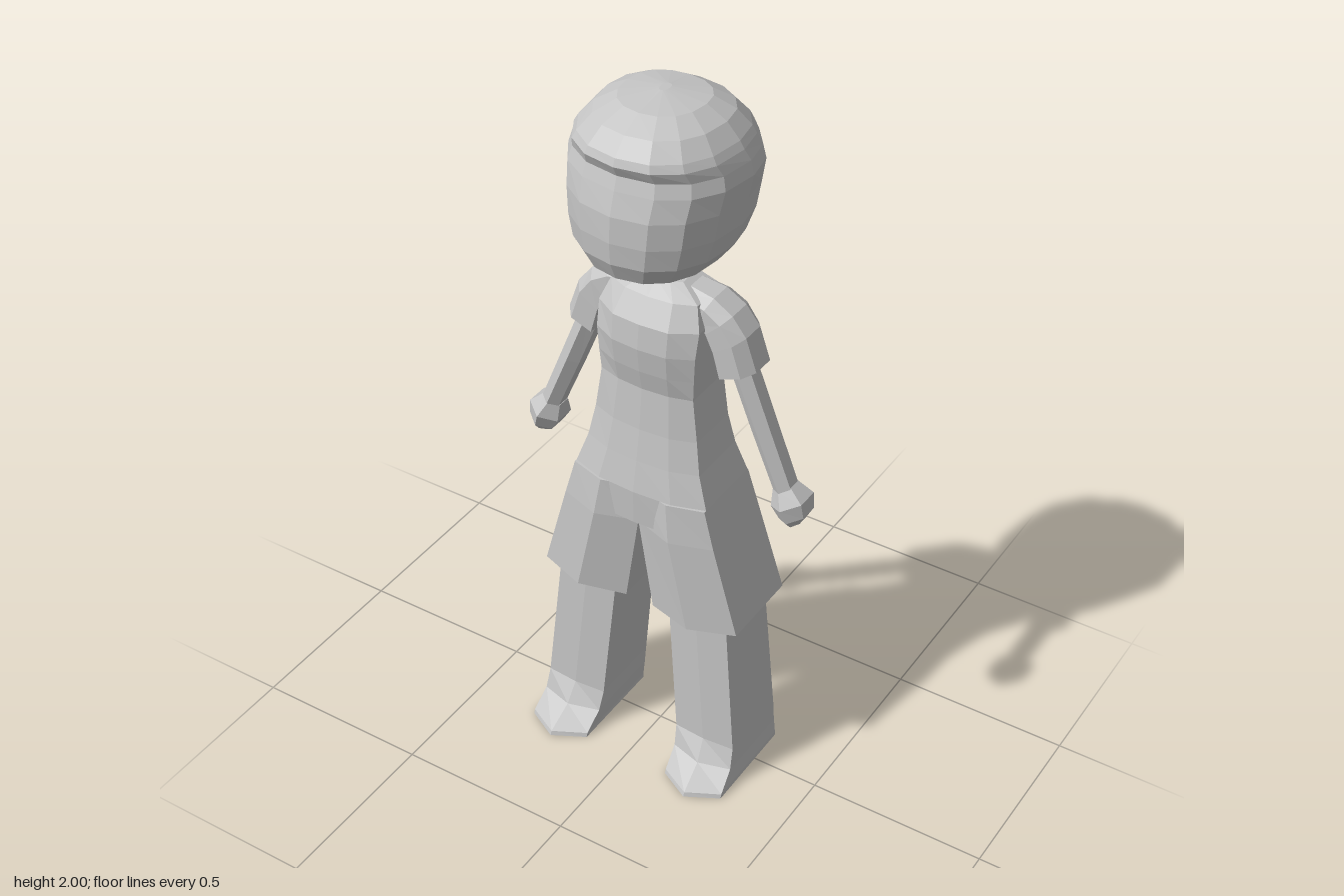
import * as THREE from 'three';

const grey = new THREE.MeshStandardMaterial({ color: 0xc4c4c4, flatShading: true });
grey.name = 'plain grey';

// Skins a stack of rings (listed top to bottom, front -> left -> back) with capped ends.
// side = -1 builds the mirrored twin.
function loft(name, rings, side = 1) {
  const loops = rings.map(r => {
    const pts = r.map(p => new THREE.Vector3(p[0] * side, p[1], p[2]));
    return side < 0 ? pts.reverse() : pts;
  });
  const pos = [];
  const tri = (...v) => v.forEach(p => pos.push(p.x, p.y, p.z));
  const n = loops[0].length;
  for (let i = 0; i < loops.length - 1; i++) {
    for (let j = 0; j < n; j++) {
      const k = (j + 1) % n;
      const [a, b, c, d] = [loops[i][j], loops[i][k], loops[i + 1][k], loops[i + 1][j]];
      tri(a, d, c);
      tri(a, c, b);
    }
  }
  const top = loops[0], end = loops[loops.length - 1];
  for (let j = 1; j < n - 1; j++) {
    tri(top[0], top[j], top[j + 1]);
    tri(end[0], end[j + 1], end[j]);
  }
  const geo = new THREE.BufferGeometry();
  geo.setAttribute('position', new THREE.Float32BufferAttribute(pos, 3));
  geo.computeVertexNormals();
  const mesh = new THREE.Mesh(geo, grey);
  mesh.name = name;
  return mesh;
}

// Rounded horizontal ring: half width, front z, back z
function roundRing([y, w, zf, zb], n = 16) {
  const mid = zf * 0.45 + zb * 0.55, ring = [];
  for (let i = 0; i < n; i++) {
    const a = (i / n) * Math.PI * 2, c = Math.cos(a), s = Math.sin(a);
    const x = Math.sign(s) * Math.abs(s) ** 0.9 * w;
    const reach = c > 0 ? zf - mid : mid - zb;
    ring.push([x, y, mid + Math.sign(c) * Math.abs(c) ** 0.88 * reach]);
  }
  return ring;
}

// Boxy torso ring: half width, front centre z, front corner z, back corner z, back centre z
function torsoRing([y, w, zf, zc, zbc, zb]) {
  const h = w * 0.55;
  return [[0, y, zf], [h, y, zf - 0.006], [w, y, zc], [w, y, zbc], [h, y, zb],
    [0, y, zb], [-h, y, zb], [-w, y, zbc], [-w, y, zc], [-h, y, zf - 0.006]];
}

// Six-sided leg ring: inner x, outer x, inner y, outer y, front ridge, front corner, back z
function legRing([xi, xo, yi, yo, zf, zc, zb, zm = zb]) {
  const xm = (xi + xo) / 2, ym = (yi + yo) / 2;
  return [[xi, yi, zc], [xm, ym, zf], [xo, yo, zc], [xo, yo, zb], [xm, ym, zm], [xi, yi, zb]];
}

// Six-sided ring square to the hanging arm
function armRing([x, y, z, r, rz]) {
  return Array.from({ length: 6 }, (_, i) => {
    const a = (i / 6) * Math.PI * 2, u = Math.sin(a) * r;
    return [x + u * 0.92, y + u * 0.39, z + Math.cos(a) * rz];
  });
}

// Sleeve ring between an upper point and a lower point
function sleeveRing([tx, ty, bx, by, z, h]) {
  const mx = bx + (tx - bx) * 0.7, my = by + (ty - by) * 0.7;
  return [[bx, by, z + h], [mx, my, z + h], [tx, ty, z + h * 0.5],
    [tx, ty, z - h * 0.5], [mx, my, z - h], [bx, by, z - h]];
}

export function createModel() {
  const model = new THREE.Group();
  model.name = 'figure';

  // Head with a shallow brow ledge
  model.add(loft('head', [
    [2.0, 0.012, 0.0, -0.04],
    [1.985, 0.11, 0.095, -0.125],
    [1.955, 0.165, 0.155, -0.175],
    [1.915, 0.2, 0.195, -0.21],
    [1.895, 0.212, 0.203, -0.217],
    [1.865, 0.225, 0.188, -0.224],
    [1.83, 0.235, 0.2, -0.229],
    [1.77, 0.226, 0.219, -0.232],
    [1.7, 0.217, 0.224, -0.222],
    [1.64, 0.2, 0.22, -0.195],
    [1.59, 0.162, 0.198, -0.16],
    [1.55, 0.112, 0.13, -0.11],
    [1.515, 0.045, 0.03, -0.07],
  ].map(r => roundRing(r))));

  // Neck
  model.add(loft('neck', [
    [1.55, 0.045, 0.02, -0.075],
    [1.51, 0.036, 0.01, -0.07],
    [1.47, 0.065, 0.035, -0.09],
  ].map(r => roundRing(r, 8))));

  // Torso
  model.add(loft('torso', [
    [1.492, 0.065, 0.02, 0.0, -0.07, -0.085],
    [1.46, 0.125, 0.06, 0.03, -0.085, -0.1],
    [1.4, 0.146, 0.1, 0.055, -0.09, -0.11],
    [1.33, 0.144, 0.108, 0.07, -0.09, -0.108],
    [1.26, 0.14, 0.1, 0.068, -0.085, -0.1],
    [1.2, 0.136, 0.088, 0.064, -0.08, -0.092],
    [1.08, 0.152, 0.1, 0.07, -0.08, -0.094],
    [0.99, 0.168, 0.115, 0.083, -0.092, -0.106],
    [0.9, 0.198, 0.132, 0.097, -0.108, -0.12],
    [0.8, 0.225, 0.13, 0.1, -0.115, -0.122],
  ].map(torsoRing)));

  for (const side of [1, -1]) {
    const tag = side > 0 ? 'left' : 'right';

    // Flared shorts leg
    model.add(loft(tag + 'Shorts', [
      [0, 0.198, 0.9, 0.9, 0.134, 0.105, -0.11, -0.121],
      [0, 0.228, 0.79, 0.79, 0.146, 0.108, -0.118, -0.128],
      [0.042, 0.3, 0.515, 0.53, 0.145, 0.105, -0.135, -0.143],
    ].map(legRing), side));

    // Leg with pointed foot
    model.add(loft(tag + 'Leg', [
      [0.07, 0.245, 0.66, 0.66, 0.098, 0.09, -0.108],
      [0.085, 0.262, 0.52, 0.52, 0.1, 0.092, -0.108],
      [0.12, 0.3, 0.12, 0.12, 0.115, 0.108, -0.11],
      [0.125, 0.304, 0.06, 0.06, 0.15, 0.125, -0.11],
      [0.13, 0.309, 0.012, 0.012, 0.225, 0.178, -0.11],
      [0.13, 0.309, 0, 0, 0.23, 0.182, -0.11],
    ].map(legRing), side));

    // Short sleeve curving over the shoulder
    model.add(loft(tag + 'Sleeve', [
      [0.04, 1.49, 0.06, 1.41, -0.035, 0.05],
      [0.15, 1.472, 0.12, 1.4, -0.035, 0.062],
      [0.205, 1.44, 0.148, 1.385, -0.035, 0.065],
      [0.245, 1.39, 0.17, 1.34, -0.035, 0.066],
      [0.276, 1.3, 0.19, 1.268, -0.035, 0.066],
    ].map(sleeveRing), side));

    // Thin arm
    model.add(loft(tag + 'Arm', [
      [0.205, 1.33, -0.032, 0.034, 0.04],
      [0.285, 1.13, -0.032, 0.033, 0.04],
      [0.357, 0.955, -0.032, 0.031, 0.038],
    ].map(armRing), side));

    // Mitten hand
    model.add(loft(tag + 'Hand', [
      [0.352, 0.965, -0.034, 0.032, 0.038],
      [0.372, 0.925, -0.036, 0.055, 0.064],
      [0.386, 0.885, -0.036, 0.044, 0.054],
      [0.388, 0.862, -0.036, 0.022, 0.034],
    ].map(armRing), side));
  }
  return model;
}
